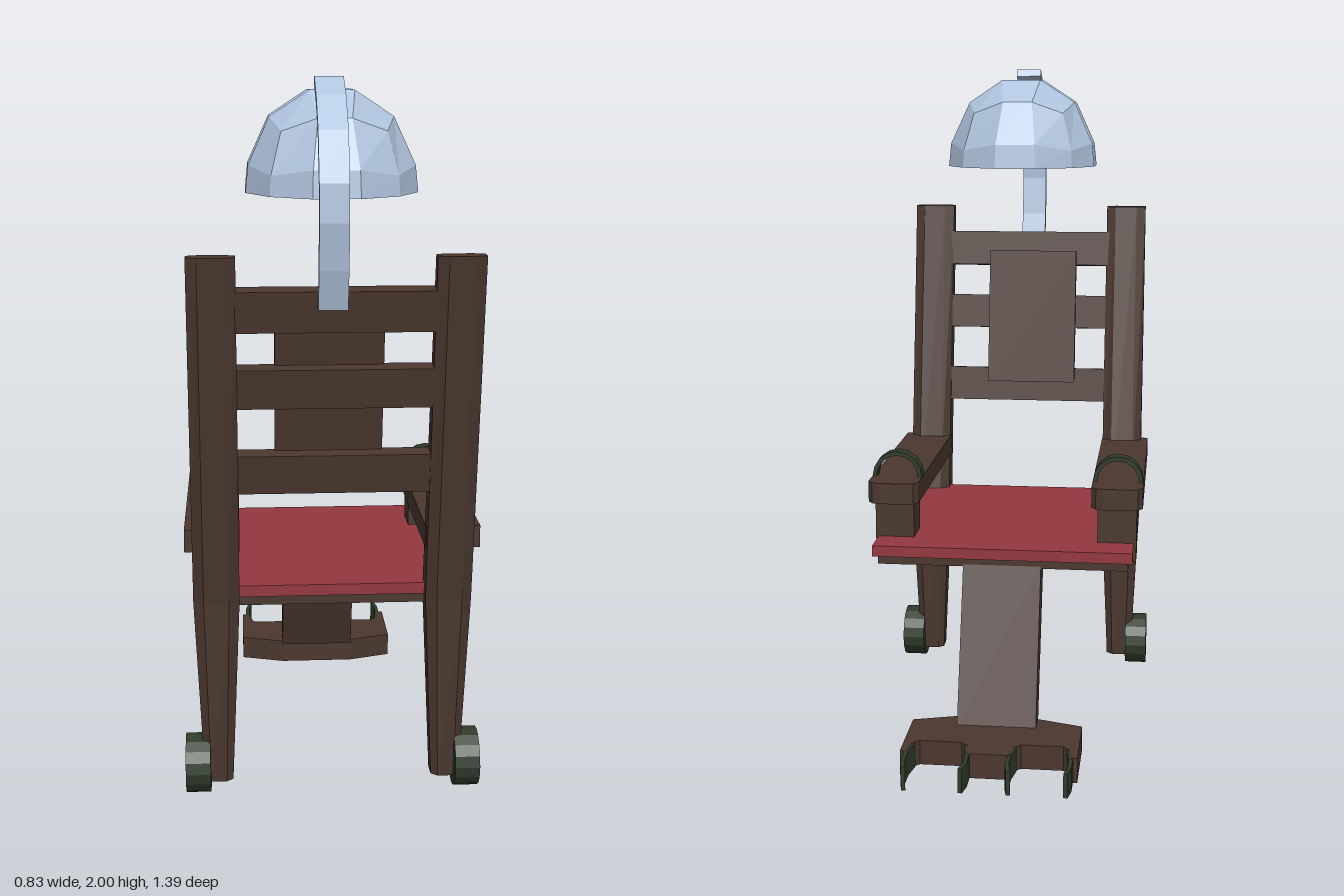
import * as THREE from 'three';

const material = (name, color, side = THREE.FrontSide) => {
  const m = new THREE.MeshStandardMaterial({ color, side, flatShading: true });
  m.name = name;
  return m;
};

export function createModel() {
  const wood = material('dark wood', 0x4a372f);
  const red = material('red cushion', 0x93383f);
  const steel = material('pale steel', 0xb0c4de);
  const green = material('dark green metal', 0x2f3b2b);

  const model = new THREE.Group();
  model.name = 'chair';
  const chair = new THREE.Group(); // everything symmetric about the chair's own midline
  chair.name = 'chairFrame';
  chair.position.x = 0.009;
  model.add(chair);

  const add = (name, geo, mat, parent = chair) => {
    const mesh = new THREE.Mesh(geo, mat);
    mesh.name = name;
    parent.add(mesh);
    return mesh;
  };
  const box = (name, mat, x0, x1, y0, y1, z0, z1) => add(name,
    new THREE.BoxGeometry(x1 - x0, y1 - y0, z1 - z0)
      .translate((x0 + x1) / 2, (y0 + y1) / 2, (z0 + z1) / 2), mat);
  const toShape = (pts) => new THREE.Shape(pts.map(([a, b]) => new THREE.Vector2(a, b)));
  const extrude = (pts, depth) =>
    new THREE.ExtrudeGeometry(toShape(pts), { depth, bevelEnabled: false });
  // outline in [z, y], extruded across x
  const sidePlate = (pts, width) =>
    extrude(pts, width).rotateY(-Math.PI / 2).translate(width / 2, 0, 0);
  // outline in [x, z], extruded upward from y0
  const floorPlate = (pts, y0, height) =>
    extrude(pts.map(([x, z]) => [x, -z]), height).rotateX(-Math.PI / 2).translate(0, y0, 0);
  // strip of constant thickness along an open path
  const ribbon = (pts, t) => {
    const offset = (s) => pts.map((p, i) => {
      const a = pts[Math.max(i - 1, 0)], b = pts[Math.min(i + 1, pts.length - 1)];
      const dx = b[0] - a[0], dy = b[1] - a[1], l = Math.hypot(dx, dy);
      return [p[0] - (dy / l) * s, p[1] + (dx / l) * s];
    });
    return [...offset(t / 2), ...offset(-t / 2).reverse()];
  };

  // Chamfered post: eight-sided sections lofted from foot to top
  const postGeometry = () => {
    const levels = [ // y, back z, front z, half width
      [0.037, 0.515, 0.435, 0.04],
      [0.575, 0.532, 0.415, 0.064],
      [1.55, 0.665, 0.6, 0.064],
    ];
    const pos = [], index = [];
    for (const [y, zb, zf, w] of levels) {
      const c = (zb + zf) / 2, d = (zb - zf) / 2, cx = w * 0.55, cz = d * 0.62;
      for (const [x, z] of [[w, cz], [w, -cz], [cx, -d], [-cx, -d],
        [-w, -cz], [-w, cz], [-cx, d], [cx, d]]) pos.push(x, y, c + z);
    }
    for (let l = 0; l < 2; l++) for (let i = 0; i < 8; i++) {
      const a = l * 8 + i, b = l * 8 + (i + 1) % 8;
      index.push(a, b, b + 8, a, b + 8, a + 8);
    }
    for (let i = 1; i < 7; i++) index.push(0, i + 1, i, 16, 16 + i, 17 + i);
    const g = new THREE.BufferGeometry();
    g.setAttribute('position', new THREE.Float32BufferAttribute(pos, 3));
    g.setIndex(index);
    const flat = g.toNonIndexed();
    flat.computeVertexNormals();
    return flat;
  };

  // Clamp hoop: half ring standing on the armrest
  const hoop = [];
  for (let i = 0; i <= 8; i++) {
    const a = (i / 8) * Math.PI;
    hoop.push([Math.cos(a) * 0.069, Math.sin(a) * 0.071]);
  }

  for (const s of [1, -1]) {
    const side = s > 0 ? 'left' : 'right';
    add(side + 'Post', postGeometry(), wood).position.x = s * 0.323;

    add(side + 'Wheel', new THREE.CylinderGeometry(0.083, 0.083, 0.07, 16)
      .rotateZ(Math.PI / 2).translate(s * 0.381, 0.083, 0.482), green);

    add(side + 'Armrest', floorPlate([
      [-0.076, 0.505], [0.076, 0.505], [0.076, -0.18], [0.062, -0.2], [0.04, -0.207],
      [-0.04, -0.207], [-0.062, -0.2], [-0.076, -0.18]], 0.72, 0.063), wood).position.x = s * 0.333;
    box(side + 'ArmSupport', wood, s * 0.333 - 0.058, s * 0.333 + 0.058, 0.555, 0.722, -0.167, -0.06);

    add(side + 'ArmClamp', extrude(ribbon(hoop, 0.013), 0.043)
      .translate(s * 0.333, 0.783, -0.118), green);
  }

  // Seat board and cushion
  box('seatBoard', wood, -0.37, 0.37, 0.55, 0.578, -0.253, 0.47);
  box('seatCushion', red, -0.383, 0.383, 0.578, 0.61, -0.273, 0.48);

  // Backrest, leaning with the posts
  const slope = 0.16;
  const backPart = (name, x, w, y0, y1, z, t) => {
    const y = (y0 + y1) / 2;
    const m = add(name, new THREE.BoxGeometry(w, y1 - y0, t), wood);
    m.position.set(x, y, 0.475 + (y - 0.57) * slope + z);
    m.rotation.x = Math.atan(slope);
  };
  [[0.9, 1.01], [1.143, 1.252], [1.352, 1.463]].forEach(([y0, y1], i) =>
    backPart('backRail' + (i + 1), 0, 0.55, y0, y1, 0, 0.05));
  backPart('backPanel', -0.014, 0.29, 0.965, 1.405, -0.03, 0.03);

  // Leg rest and notched foot plate
  add('legRest', sidePlate([[-0.163, 0.565], [-0.25, 0.565], [-0.405, 0.11], [-0.325, 0.11]], 0.23), wood);
  const notch = [[-0.085, -0.597], [-0.08, -0.545], [-0.06, -0.523],
    [0.06, -0.523], [0.08, -0.545], [0.085, -0.597]];
  add('footPlate', floorPlate([
    [0.115, -0.337], [-0.115, -0.337], [-0.248, -0.378], [-0.248, -0.597],
    ...notch.map(([x, z]) => [x - 0.144, z]),
    ...notch.map(([x, z]) => [x + 0.144, z]),
    [0.248, -0.597], [0.248, -0.378]], 0.045, 0.072), wood);

  // Ankle cuff prongs
  for (const c of [-0.144, 0.144]) for (const s of [-1, 1]) {
    const path = [[0.078, -0.695], [0.086, -0.655], [0.086, -0.6], [0.076, -0.54]];
    add('ankleCuff', floorPlate(ribbon(path.map(([x, z]) => [c + s * x, z]), 0.012), 0.046, 0.07), green);
  }

  // Helmet: upper half of a rounded cube, with inner wall and rim
  const domeGeometry = (inside) => {
    const g = new THREE.BoxGeometry(2, 2, 2, 3, 3, 3);
    const p = g.attributes.position, v = new THREE.Vector3();
    const keep = [], idx = g.index.array;
    for (let i = 0; i < idx.length; i += 3) {
      const t = [idx[i], idx[i + 1], idx[i + 2]];
      if (t.every((k) => p.getY(k) > -0.5)) keep.push(...(inside ? t.reverse() : t));
    }
    const warp = (a) => Math.tan(a * Math.PI / 4);
    for (let i = 0; i < p.count; i++) {
      const y = p.getY(i);
      v.set(warp(p.getX(i)), y < 0 ? 0 : warp(y), warp(p.getZ(i))).normalize();
      p.setXYZ(i, v.x, v.y, v.z);
    }
    g.clearGroups();
    g.setIndex(keep);
    const flat = g.toNonIndexed();
    if (inside) flat.scale(0.94, 0.94, 0.94);
    flat.computeVertexNormals();
    return flat;
  };
  const helmet = new THREE.Group();
  helmet.name = 'helmet';
  helmet.position.set(0.009, 1.695, 0.375);
  helmet.scale.set(0.238, 0.285, 0.283);
  model.add(helmet);
  add('helmetShell', domeGeometry(false), steel, helmet);
  add('helmetLining', domeGeometry(true), steel, helmet);
  add('helmetRim', new THREE.RingGeometry(0.94, 1, 12, 1, Math.PI / 12).rotateX(Math.PI / 2), steel, helmet);

  // Curved strap carrying the helmet
  const strapPath = [[0.637, 1.415], [0.667, 1.52], [0.685, 1.64], [0.679, 1.735],
    [0.629, 1.861], [0.543, 1.941], [0.452, 1.986]];
  add('helmetStrap', sidePlate(ribbon(strapPath, 0.024), 0.077), steel, model);

  return model;
}
